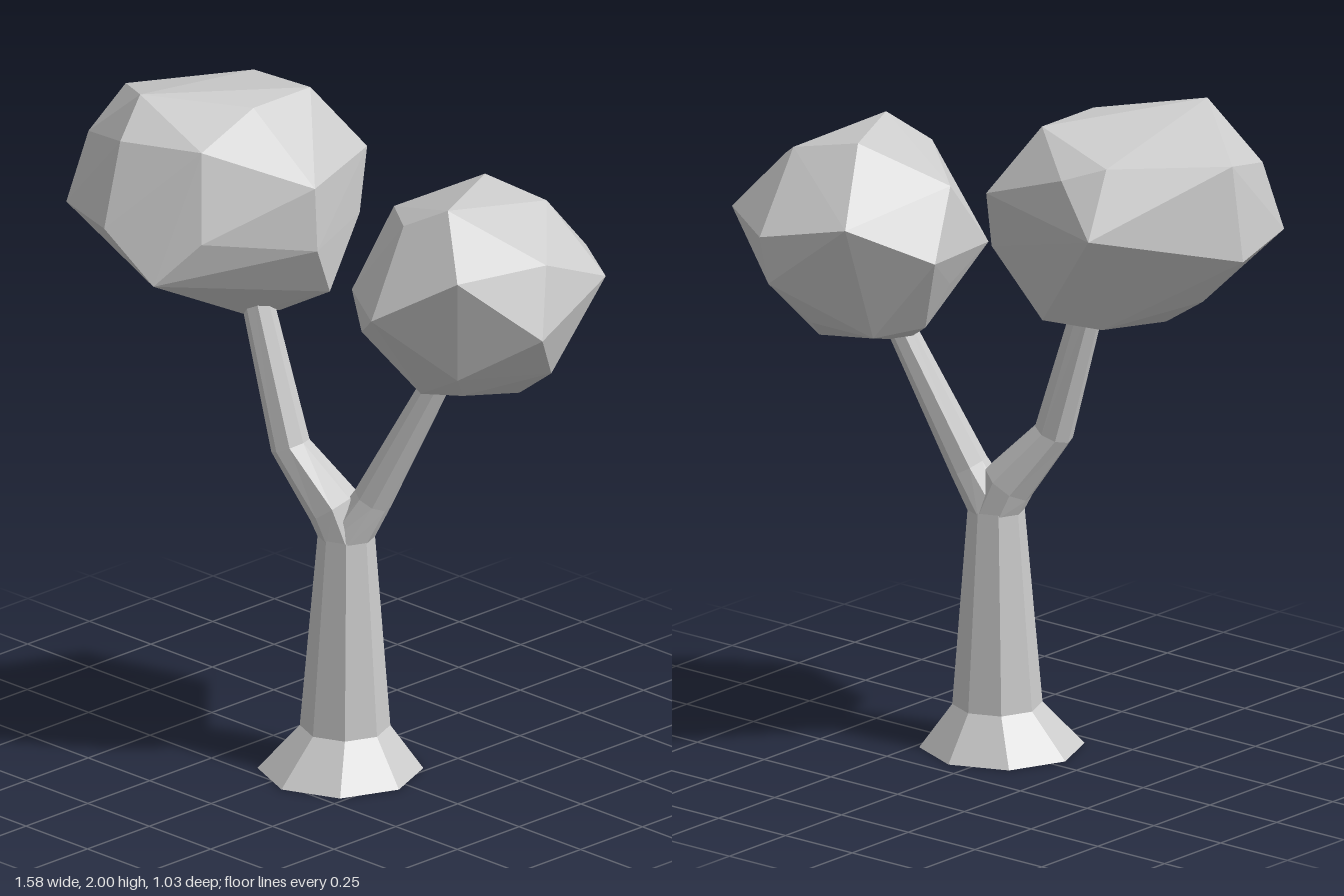
import * as THREE from 'three';
import { ConvexGeometry } from 'three/addons/geometries/ConvexGeometry.js';

const material = new THREE.MeshStandardMaterial({ color: 0xcccccc, flatShading: true, side: THREE.DoubleSide });

// Eight-sided limb through rings [x, y, z, radius], each tilted to the path unless level
function limb(name, rings, level = false) {
  const sides = 8;
  const centres = rings.map(r => new THREE.Vector3(r[0], r[1], r[2]));
  const up = new THREE.Vector3(0, 1, 0);
  const positions = [], index = [];
  rings.forEach((ring, i) => {
    const before = centres[Math.max(i - 1, 0)];
    const after = centres[Math.min(i + 1, rings.length - 1)];
    const q = new THREE.Quaternion();
    if (!level && i > 0) q.setFromUnitVectors(up, after.clone().sub(before).normalize());
    for (let s = 0; s < sides; s++) {
      const a = s / sides * Math.PI * 2;
      const p = new THREE.Vector3(Math.sin(a) * ring[3], 0, Math.cos(a) * ring[3]);
      p.applyQuaternion(q).add(centres[i]);
      positions.push(p.x, p.y, p.z);
      if (i === 0) continue;
      const n = (s + 1) % sides, lo = (i - 1) * sides, hi = i * sides;
      index.push(lo + s, lo + n, hi + n, lo + s, hi + n, hi + s);
    }
  });
  const geometry = new THREE.BufferGeometry();
  geometry.setAttribute('position', new THREE.Float32BufferAttribute(positions, 3));
  geometry.setIndex(index);
  geometry.computeVertexNormals();
  const mesh = new THREE.Mesh(geometry, material);
  mesh.name = name;
  return mesh;
}

// Faceted leaf mass wrapped around its corner points
function crown(name, corners) {
  const mesh = new THREE.Mesh(new ConvexGeometry(corners.map(c => new THREE.Vector3(...c))), material);
  mesh.name = name;
  return mesh;
}

export function createModel() {
  const tree = new THREE.Group();
  tree.name = 'tree';

  // Trunk with flared, open foot
  tree.add(limb('trunk', [
    [0.065, 0, 0.042, 0.238], [0.07, 0.13, 0.028, 0.13], [0.073, 0.72, 0.026, 0.082],
  ], true));

  // Forked branches
  tree.add(limb('rightBranch', [
    [0.073, 0.71, 0.026, 0.081], [0.037, 0.8, 0.04, 0.08],
    [-0.09, 0.965, 0.09, 0.058], [-0.24, 1.46, 0.1, 0.044],
  ]));
  tree.add(limb('leftBranch', [
    [0.073, 0.71, 0.026, 0.081], [0.145, 0.84, -0.01, 0.058], [0.367, 1.32, -0.11, 0.038],
  ]));

  // Larger crown
  tree.add(crown('rightCrown', [
    // top
    [-0.48, 2, 0.31], [-0.23, 1.97, -0.13], [-0.23, 1.97, 0.1],
    // upper ring
    [-0.75, 1.9, 0.1], [-0.67, 1.84, 0.33], [-0.44, 1.9, 0.43], [-0.21, 1.9, 0.33],
    [0.02, 1.79, 0.1], [-0.13, 1.78, -0.26], [-0.42, 1.88, -0.27], [-0.53, 1.92, -0.2],
    // middle ring
    [-0.79, 1.62, 0.1], [-0.7, 1.63, 0.39], [-0.42, 1.66, 0.515], [-0.25, 1.52, 0.485],
    [-0.15, 1.65, 0.39], [0.03, 1.6, 0.1], [-0.1, 1.6, -0.2], [-0.55, 1.73, -0.305],
    // underside
    [-0.64, 1.47, 0.1], [-0.46, 1.36, 0.15], [-0.24, 1.34, 0.13], [-0.17, 1.35, 0.05],
    [-0.01, 1.44, 0.01], [-0.43, 1.39, -0.1], [-0.24, 1.39, -0.14],
  ]));

  // Smaller crown
  tree.add(crown('leftCrown', [
    // top
    [0.48, 1.83, 0.02], [0.35, 1.83, -0.26], [0.55, 1.79, -0.31], [0.35, 1.76, 0.07],
    // upper ring
    [0.13, 1.71, -0.11], [0.64, 1.68, 0.14], [0.73, 1.69, -0.13], [0.23, 1.64, -0.46],
    // middle ring
    [0.4, 1.53, 0.25], [0.24, 1.42, 0.13], [0.07, 1.52, -0.25], [0.5, 1.58, -0.52],
    [0.73, 1.59, -0.37], [0.785, 1.49, -0.06], [0.13, 1.5, 0.06], [0.14, 1.41, -0.1],
    [0.48, 1.44, -0.505],
    // underside
    [0.71, 1.34, -0.17], [0.52, 1.21, -0.23], [0.35, 1.2, -0.1], [0.38, 1.24, 0.03],
    [0.53, 1.27, 0.01], [0.58, 1.35, 0.08], [0.27, 1.23, -0.11],
    [0.19, 1.28, -0.15], [0.26, 1.27, -0.3], [0.43, 1.3, -0.37],
  ]));

  return tree;
}
